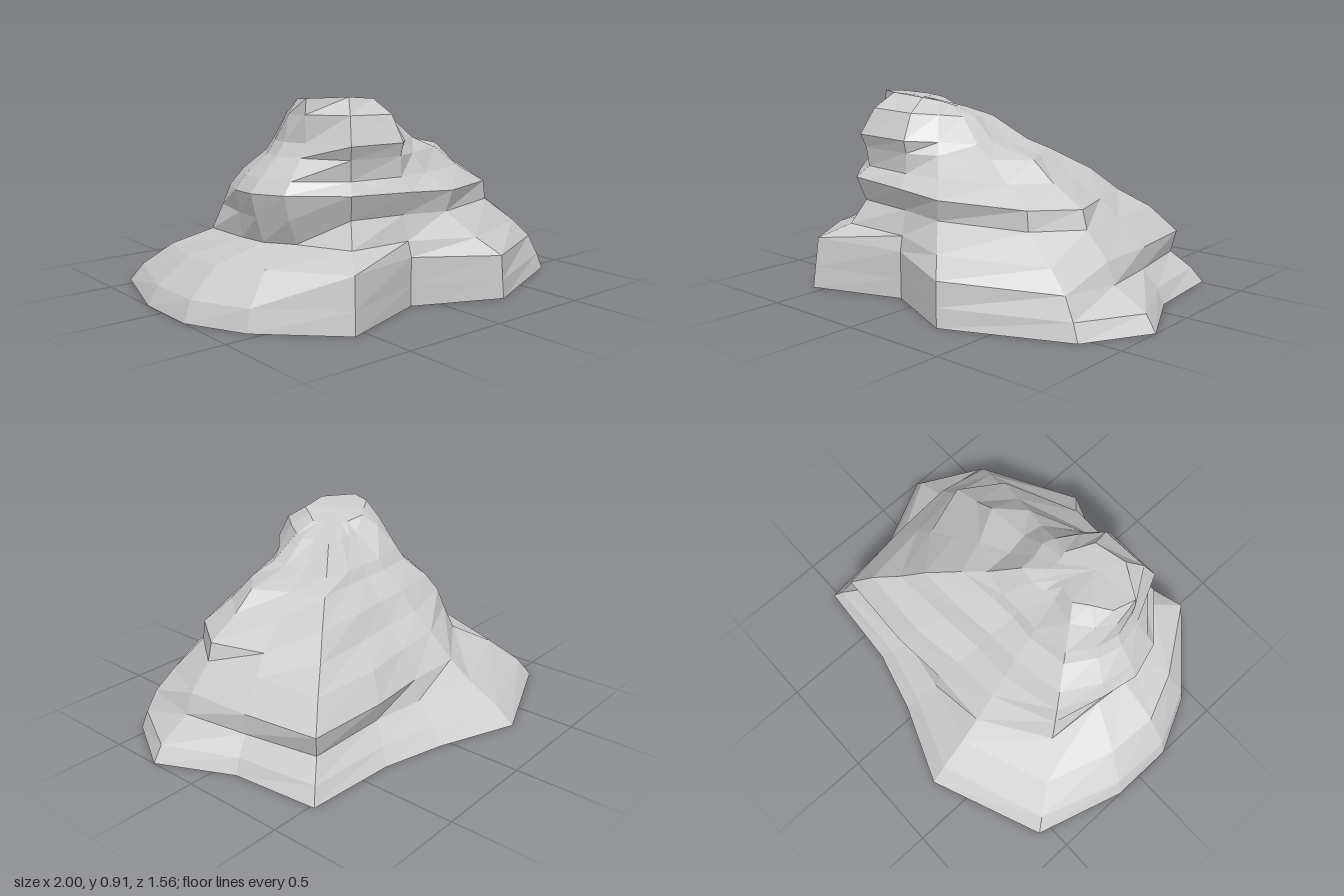
import * as THREE from 'three';

// The summit axis, and the ground outline measured from it (anticlockwise from the front).
const AXIS = { x: -0.2, z: 0.25 };
const OUTLINE = [
  [-0.36, 0.5], [0.08, 0.35], [0.48, 0.53], [1.03, 0.3], [1.2, 0], [1.03, -0.35], [0.99, -0.77],
  [0.55, -0.8], [0.25, -0.88], [-0.13, -1.03], [-0.67, -0.81], [-0.8, -0.38], [-0.8, -0.07], [-0.67, 0.2],
];

// Height of each stratum on the raised front left, and on the lower back right.
const HIGH = [0.1, 0.24, 0.3, 0.41, 0.52, 0.57, 0.66, 0.72, 0.84, 0.91];
const LOW = [0.07, 0.15, 0.25, 0.37, 0.45, 0.55, 0.64, 0.69, 0.8, 0.84];

// Cliff profiles by outline corner: how far each stratum reaches out from the axis.
// Corners without a profile take the mean of their neighbours.
const PROFILES = {
  0: [0.98, 0.95, 0.7, 0.58, 0.65, 0.55, 0.57, 0.61, 0.5, 0.35],
  1: [1, 1, 0.95, 0.87, 0.98, 0.84, 0.83, 0.87, 0.7, 0.42],
  2: [0.99, 0.98, 0.82, 0.63, 0.67, 0.5, 0.42, 0.37, 0.28, 0.15],
  3: [0.97, 0.92, 0.83, 0.68, 0.67, 0.53, 0.42, 0.31, 0.19, 0.1],
  4: [0.96, 0.83, 0.8, 0.71, 0.69, 0.56, 0.47, 0.28, 0.18, 0.08],
  5: [0.97, 0.91, 0.91, 0.8, 0.72, 0.59, 0.46, 0.31, 0.19, 0.09],
  7: [0.94, 0.84, 0.88, 0.78, 0.62, 0.54, 0.38, 0.34, 0.2, 0.1],
  9: [0.92, 0.78, 0.67, 0.56, 0.47, 0.4, 0.3, 0.27, 0.14, 0.09],
  11: [0.95, 0.8, 0.53, 0.54, 0.56, 0.51, 0.4, 0.36, 0.3, 0.2],
  13: [0.97, 0.83, 0.53, 0.6, 0.64, 0.58, 0.48, 0.43, 0.43, 0.42],
};

function reach(corner, level) {
  if (PROFILES[corner]) return PROFILES[corner][level];
  return (PROFILES[corner - 1][level] + PROFILES[corner + 1][level]) / 2;
}

// One stratum: the outline drawn in toward the axis and tilted up to the front left.
function stratum(level) {
  return OUTLINE.map(([x, z], corner) => {
    const s = reach(corner, level);
    const facing = 0.5 + 0.5 * (z - x) / (Math.SQRT2 * Math.hypot(x, z));
    const y = THREE.MathUtils.lerp(LOW[level], HIGH[level], facing);
    return [AXIS.x + x * s, y, AXIS.z + z * s];
  });
}

// Skin neighbouring strata with quads and close both ends with fans.
function loft(rings, bottom, top) {
  const n = OUTLINE.length;
  const last = (rings.length - 1) * n, lo = rings.length * n, hi = lo + 1;
  const index = [];
  for (let i = 0; i < n; i++) {
    const j = (i + 1) % n;
    for (let r = 0; r < last; r += n) {
      index.push(r + i, r + j, r + j + n, r + i, r + j + n, r + i + n);
    }
    index.push(lo, j, i, hi, last + i, last + j);
  }
  const geometry = new THREE.BufferGeometry();
  geometry.setAttribute('position', new THREE.Float32BufferAttribute([...rings, bottom, top].flat(2), 3));
  geometry.setIndex(index);
  const faceted = geometry.toNonIndexed();
  faceted.computeVertexNormals();
  return faceted;
}

export function createModel() {
  const ground = OUTLINE.map(([x, z]) => [AXIS.x + x, 0, AXIS.z + z]);
  const rings = [ground, ...HIGH.map((_, level) => stratum(level))];
  const rock = new THREE.Mesh(
    loft(rings, [AXIS.x, 0, AXIS.z], [-0.26, 0.89, 0.31]),
    new THREE.MeshStandardMaterial({ color: 0xcccccc, flatShading: true }));
  rock.name = 'rock';

  const group = new THREE.Group();
  group.name = 'rockFormation';
  group.add(rock);
  return group;
}
